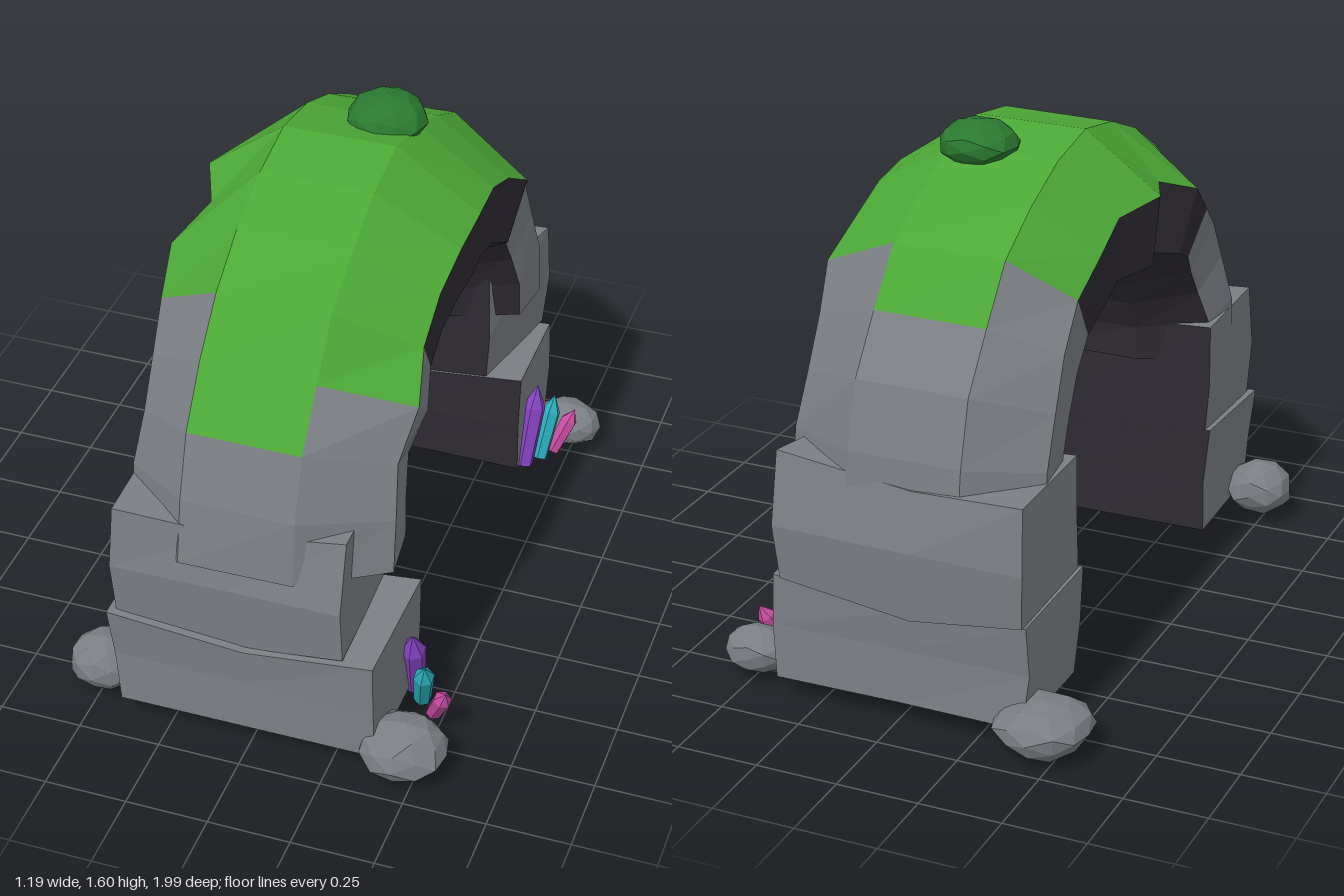
import * as THREE from 'three';

const mat = (name, color) => {
  const m = new THREE.MeshStandardMaterial({ color });
  m.name = name;
  return m;
};

// Repeatable noise in -1..1, the same for coincident points
const noise = (x, y, z, seed) => {
  const s = Math.sin(Math.round(x * 1000) * 0.1271 + Math.round(y * 1000) * 0.3117 + Math.round(z * 1000) * 0.0747 + seed * 17.3) * 43758.5453;
  return (s - Math.floor(s)) * 2 - 1;
};

export function createModel() {
  const group = new THREE.Group();
  const rock = mat('grey rock', 0x7b7f84);
  const dark = mat('dark inner rock', 0x2e2b32);
  const moss = mat('moss green', 0x4ca836);
  const leaf = mat('bush green', 0x2a7a30);
  const purple = mat('purple crystal', 0x8442be);
  const teal = mat('teal crystal', 0x2aacb8);
  const pink = mat('pink crystal', 0xc64ca0);

  const add = (name, geometry, material) => {
    const mesh = new THREE.Mesh(geometry, material);
    mesh.name = name;
    group.add(mesh);
    return mesh;
  };

  // Arch: an eight-sided section swept through half a circle, front to back
  const SEG = 14, BASE = 0.63;
  const outerRadius = [0.905, 0.895, 0.9, 0.882, 0.898, 0.89, 0.9, 0.92, 0.9, 0.89, 0.905, 0.885, 0.905, 0.89, 0.89];
  const leftEdge = [0.385, 0.382, 0.37, 0.4, 0.375, 0.375, 0.385, 0.39, 0.38, 0.38, 0.4, 0.365, 0.365, 0.38, 0.38];
  const rightEdge = [0.41, 0.41, 0.39, 0.395, 0.42, 0.435, 0.37, 0.44, 0.38, 0.39, 0.38, 0.39, 0.4, 0.4, 0.4];
  const rings = outerRadius.map((outer, i) => {
    const a = (i / SEG) * Math.PI, c2 = Math.cos(a) ** 2;
    const rim = 0.525 + 0.06 * c2, vault = 0.42 + 0.08 * c2;
    const section = [
      [-0.205, outer - (i === 4 ? 0.012 : 0)], [0.137, outer], [leftEdge[i], 0.745], [leftEdge[i] - 0.02, rim],
      [0.14, vault], [-0.18, vault], [0.02 - rightEdge[i], rim], [-rightEdge[i], i === 4 ? 0.715 : 0.74],
    ];
    return section.map(([x, r], k) => {
      const rr = r + 0.005 * noise(i, k, 1, 2);
      return [x, BASE + rr * Math.sin(a), rr * Math.cos(a)];
    });
  });
  const parts = { archRock: [], archMoss: [], archInside: [] };
  const quad = (list, a, b, c, d) => list.push(...a, ...b, ...c, ...a, ...c, ...d);
  // Moss covers these segment ranges on the right, centre and left outer strips
  const mossRange = { 7: [4, 10], 0: [2, 11], 1: [3, 10] };
  for (let i = 0; i < SEG; i++) {
    for (let k = 0; k < 8; k++) {
      const n = (k + 1) % 8;
      let part = 'archRock';
      if (mossRange[k]) {
        if (i >= mossRange[k][0] && i < mossRange[k][1]) part = 'archMoss';
      } else if (k >= 3 && k <= 5) part = 'archInside';
      else if (i >= 4 && i < 10) part = 'archInside';
      quad(parts[part], rings[i][k], rings[i][n], rings[i + 1][n], rings[i + 1][k]);
    }
  }
  // Flat feet of the arch
  for (const [r, flip] of [[rings[0], false], [rings[SEG], true]]) {
    for (let k = 1; k < 7; k++) {
      parts.archRock.push(...r[0], ...(flip ? r[k] : r[k + 1]), ...(flip ? r[k + 1] : r[k]));
    }
  }
  const archMaterials = { archRock: rock, archMoss: moss, archInside: dark };
  for (const [name, list] of Object.entries(parts)) {
    const g = new THREE.BufferGeometry();
    g.setAttribute('position', new THREE.Float32BufferAttribute(list, 3));
    g.computeVertexNormals();
    add(name, g, archMaterials[name]);
  }

  // Rough leg blocks, dark on the side facing the passage
  const block = (name, min, max, darkSide, shape) => {
    let g = new THREE.BoxGeometry(1, 1, 1, 2, 2, 1);
    const p = g.attributes.position;
    for (let i = 0; i < p.count; i++) {
      const u = p.getX(i) + 0.5, v = p.getY(i) + 0.5, w = p.getZ(i) + 0.5;
      const q = [u, v, w].map((t, k) => min[k] + (max[k] - min[k]) * t);
      q[0] += 0.008 * noise(u, v, w, min[2] * 9 + 1);
      q[2] += 0.006 * noise(u, v, w, min[2] * 9 + 2);
      shape(q, u, v, w);
      p.setXYZ(i, ...q);
    }
    g = g.toNonIndexed();
    g.computeVertexNormals();
    const materials = Array(6).fill(rock);
    materials[darkSide] = dark;
    add(name, g, materials);
  };
  for (const s of [1, -1]) {
    const side = s > 0 ? 'front' : 'back';
    const span = (a, b) => (s > 0 ? [a, b] : [-b, -a]);
    const inside = s > 0 ? 5 : 4;
    const [l0, l1] = span(0.515, s > 0 ? 0.91 : 0.88);
    block(side + 'LowerBlock', [-0.42, 0.07, l0], [0.385, 0.41, l1], inside, (q, u, v, w) => {
      const out = s > 0 ? w : 1 - w;
      if (v === 1) {
        q[1] += (u === 0.5 ? -0.03 : 0.01) - 0.02 * out;
        q[2] += s * 0.015 * (1 - u) * out;
      }
      if (u === 0) q[0] += 0.02 * (1 - v);
    });
    // The middle block leans out on the right and sinks under the arch on the left
    const [m0, m1] = span(0.52, 0.9);
    block(side + 'MiddleBlock', [-0.41, 0.37, m0], [0.28, 0.765, m1], inside, (q, u, v, w) => {
      const out = s > 0 ? w : 1 - w;
      if (v === 0) q[1] += u === 0.5 ? -0.02 : 0.03;
      if (v === 1) {
        q[1] += u === 1 ? 0.02 : -0.04 * u;
        q[2] -= s * 0.04 * u * out;
      }
      if (v === 0.5) q[2] += s * (0.02 - 0.01 * u) * out;
      if (s < 0 && u === 1) q[0] += 0.08 * out;
    });
  }

  // Boulders and bush: faceted balls with uneven surfaces
  const lump = (name, pos, size, material, seed) => {
    const g = new THREE.IcosahedronGeometry(1, 1);
    const p = g.attributes.position;
    for (let i = 0; i < p.count; i++) {
      const v = [p.getX(i), p.getY(i), p.getZ(i)];
      const f = 1 + 0.07 * noise(...v, seed);
      p.setXYZ(i, v[0] * f * size[0], v[1] * f * size[1], v[2] * f * size[2]);
    }
    g.computeVertexNormals();
    add(name, g, material).position.set(...pos);
  };
  lump('frontLeftBoulder', [0.46, 0.095, 0.865], [0.13, 0.09, 0.125], rock, 1);
  lump('frontRightBoulder', [-0.49, 0.115, 0.815], [0.11, 0.085, 0.105], rock, 2);
  lump('backLeftBoulder', [0.485, 0.095, -0.79], [0.105, 0.07, 0.09], rock, 3);
  lump('backRightBoulder', [-0.455, 0.09, -0.86], [0.145, 0.08, 0.14], rock, 4);
  lump('bush', [0.05, 1.528, -0.18], [0.12, 0.067, 0.115], leaf, 5);

  // Crystals: six-sided prisms with pointed ends, leaning outward
  const crystal = (name, foot, tip, r, material) => {
    const a = new THREE.Vector3(...foot), dir = new THREE.Vector3(...tip).sub(a);
    const h = dir.length();
    const profile = [[0, 0], [r * 0.85, 0], [r, h * 0.73], [0, h]].map(([x, y]) => new THREE.Vector2(x, y));
    const g = new THREE.LatheGeometry(profile, 6).toNonIndexed();
    g.computeVertexNormals();
    const mesh = add(name, g, material);
    mesh.position.copy(a);
    mesh.quaternion.setFromUnitVectors(new THREE.Vector3(0, 1, 0), dir.normalize());
  };
  for (const s of [1, -1]) {
    const side = s > 0 ? 'front' : 'back';
    const lean = s > 0 ? 0 : 0.02;
    crystal(side + 'PurpleCrystal', [0.395, 0.06, s * 0.565], [0.412, 0.32, s * 0.65], 0.039, purple);
    crystal(side + 'TealCrystal', [0.435, 0.06, s * 0.615], [0.467 - lean / 2, 0.255, s * 0.703], 0.032, teal);
    crystal(side + 'PinkCrystal', [0.485 - lean, 0.06, s * 0.665], [0.54 - lean, 0.195, s * 0.725], 0.028, pink);
  }

  // Stalactites under the ceiling
  const spikes = [
    [0.1, 0.44, 0.76], [-0.08, 0.33, 0.86], [0.06, 0.18, 0.93], [-0.05, -0.01, 0.99],
    [0.1, -0.18, 0.93], [-0.1, -0.31, 0.88], [0.04, -0.44, 0.76],
  ];
  for (const [x, z, y] of spikes) {
    const g = new THREE.ConeGeometry(0.028, 0.13, 5).toNonIndexed();
    g.computeVertexNormals();
    const mesh = add('stalactite', g, dark);
    mesh.rotation.x = Math.PI;
    mesh.position.set(x, y + 0.065, z);
  }

  return group;
}
